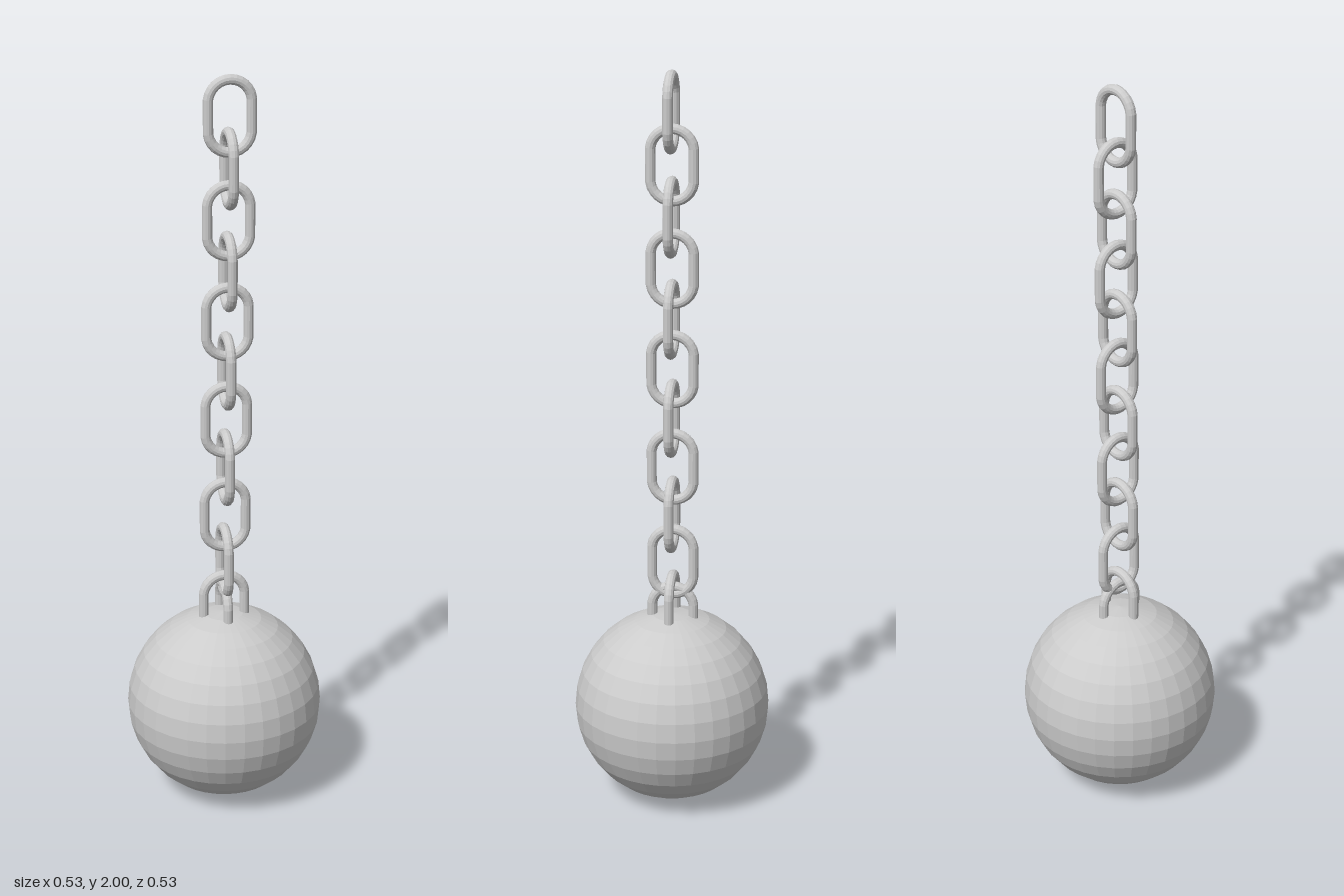
import * as THREE from 'three';

const BALL_R = 0.265;
const LINK_R = 0.0565;   // centre line radius of a link's round ends
const WIRE_R = 0.0135;
const LINK_H = 0.213;    // full outer height of a link
const PITCH = 0.135;     // vertical step between neighbouring links
const LINKS = 11;

// A torus pulled apart at its middle, giving two straight sides
function linkGeometry() {
  const n = 26;
  const geo = new THREE.TorusGeometry(LINK_R, WIRE_R, 12, n).rotateZ(Math.PI / n);
  const half = LINK_H / 2 - LINK_R - WIRE_R;
  const pos = geo.attributes.position;
  for (let i = 0; i < pos.count; i++) {
    const y = pos.getY(i);
    pos.setY(i, y + Math.sign(y) * half);
  }
  geo.computeVertexNormals();
  return geo;
}

export function createModel() {
  const group = new THREE.Group();
  group.name = 'ballAndChain';
  const metal = new THREE.MeshStandardMaterial({ color: 0xcccccc, flatShading: true });

  // Heavy ball
  const ball = new THREE.Mesh(new THREE.SphereGeometry(BALL_R, 32, 16), metal);
  ball.name = 'ball';
  ball.position.y = BALL_R;
  group.add(ball);

  // Chain, each link turned a quarter from the last, drifting slightly sideways
  const chain = new THREE.Group();
  chain.name = 'chain';
  const geo = linkGeometry();
  const addLink = (name, x, top, turned) => {
    const link = new THREE.Mesh(geo, metal);
    link.name = name;
    link.position.set(x, top - LINK_H / 2, turned ? -0.002 : 0);
    link.rotation.y = turned ? Math.PI / 2 : 0;
    chain.add(link);
  };
  for (let i = 0; i < LINKS; i++) {
    addLink(`chainLink${i + 1}`, 0.015 * (1 - i / (LINKS - 1)), 2 - i * PITCH, i % 2 === 1);
  }

  // Anchor loop half sunk in the ball, crossing the lowest link
  addLink('anchorLoop', 0, 0.62, true);
  group.add(chain);
  return group;
}
